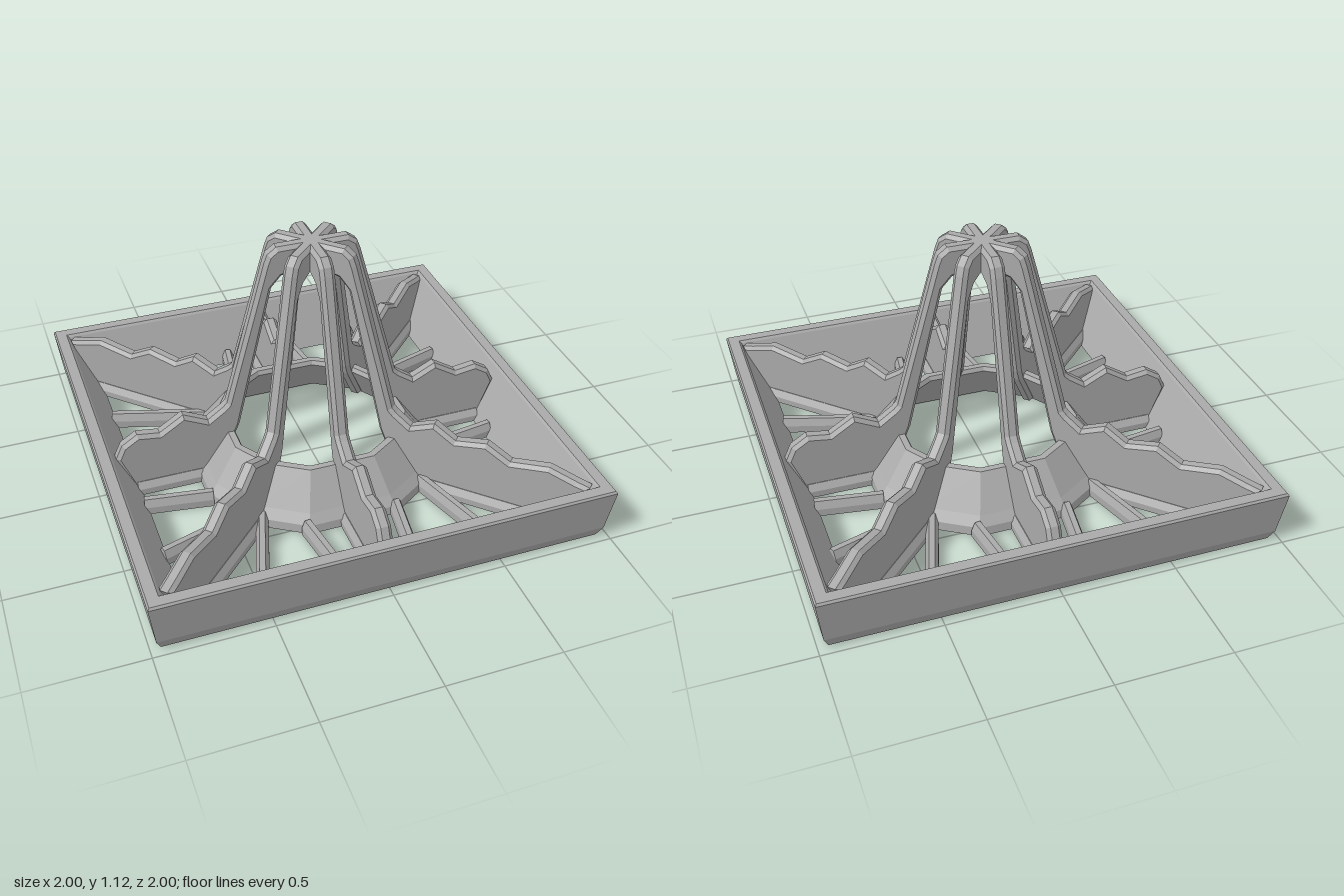
import * as THREE from 'three';

const grey = new THREE.MeshStandardMaterial({ color: 0xaaaaaa });
grey.name = 'grey';

// Sweep a closed counter-clockwise (radius, height) profile around polygon corners (x, z).
function sweepRing(corners, profile) {
  const pos = [];
  const at = (i, j) => {
    const c = corners[i % corners.length], p = profile[j % profile.length];
    return [c[0] * p[0], p[1], c[1] * p[0]];
  };
  for (let i = 0; i < corners.length; i++) {
    for (let j = 0; j < profile.length; j++) {
      const a = at(i, j), b = at(i, j + 1), c = at(i + 1, j), d = at(i + 1, j + 1);
      pos.push(...a, ...b, ...c, ...b, ...d, ...c);
    }
  }
  const g = new THREE.BufferGeometry();
  g.setAttribute('position', new THREE.Float32BufferAttribute(pos, 3));
  g.computeVertexNormals();
  return g;
}

const toShape = (pts) => new THREE.Shape(pts.map((p) => new THREE.Vector2(p[0], p[1])));

// Upright rib: a bevelled plate in the radius/height plane.
function ribGeometry(crest) {
  const width = 0.065, bevel = 0.016;
  const outline = [
    [0, 1.0], [0.06, 1.0], [0.14, 0.98], [0.185, 0.93], [0.345, 0.26], [0.37, 0.2], [0.5, 0],
    ...crest.slice().reverse(),
    [0.42, 0.36], [0.4, 0.38], [0.215, 1.05], [0.2, 1.09], [0.16, 1.12], [0, 1.12],
  ];
  const g = new THREE.ExtrudeGeometry(toShape(outline), {
    depth: width - 2 * bevel, bevelEnabled: true, bevelSegments: 1,
    bevelThickness: bevel, bevelSize: bevel, bevelOffset: -bevel,
  });
  g.translate(0, 0, -width / 2 + bevel);
  return g;
}

// Bar with a trapezoid section lying on the ground between two (x, z) points.
function groundBar(from, to, base, top, height) {
  const dx = to[0] - from[0], dz = to[1] - from[1];
  const section = [[-base / 2, 0], [base / 2, 0], [base / 2, height * 0.5], [top / 2, height], [-top / 2, height], [-base / 2, height * 0.5]];
  const g = new THREE.ExtrudeGeometry(toShape(section), { depth: Math.hypot(dx, dz), bevelEnabled: false });
  g.rotateY(Math.atan2(dx, dz));
  g.translate(from[0], 0, from[1]);
  return g;
}

export function createModel() {
  const model = new THREE.Group();
  model.name = 'ventedSpire';
  const add = (name, geometry, parent = model) => {
    const m = new THREE.Mesh(geometry, grey);
    m.name = name;
    parent.add(m);
    return m;
  };

  // Square tray frame with a sloping inner wall
  add('frame', sweepRing(
    [[1, 1], [-1, 1], [-1, -1], [1, -1]],
    [[0.81, 0], [0.955, 0], [0.975, 0.05], [1, 0.25], [0.993, 0.26], [0.945, 0.26], [0.935, 0.25]],
  ));

  // Conical ring around the central opening
  const corners = [];
  for (let k = 0; k < 4; k++) {
    for (const deg of [-20, 20, 45]) {
      const a = THREE.MathUtils.degToRad(deg + 90 * k);
      corners.push([Math.cos(a), Math.sin(a)]);
    }
  }
  add('centreRing', sweepRing(corners,
    [[0.53, 0], [0.58, 0], [0.575, 0.04], [0.54, 0.08], [0.43, 0.23], [0.4, 0.23], [0.39, 0.21]]));

  // Eight ribs: straight ones to the sides, longer ones to the corners
  const sideRib = ribGeometry([[0.49, 0.31], [0.6, 0.365], [0.71, 0.295], [0.81, 0.31], [0.88, 0.265], [0.91, 0.2], [0.83, 0]].map((p) => p));
  const cornerRib = ribGeometry([[0.49, 0.31], [0.6, 0.36], [0.7, 0.3], [0.84, 0.33], [0.95, 0.27], [1.12, 0.3], [1.24, 0.265], [1.3, 0.25], [1.16, 0]]);
  for (let k = 0; k < 8; k++) {
    const corner = k % 2 === 1;
    const group = new THREE.Group();
    group.name = corner ? 'cornerRib' : 'sideRib';
    group.rotation.y = k * Math.PI / 4;
    model.add(group);
    add('ribPlate', corner ? cornerRib : sideRib, group);
    // Wider foot under the rib
    add('ribFoot', groundBar([0.53, 0], [corner ? 1.16 : 0.83, 0], 0.11, 0.07, 0.06), group);
  }

  // Slim spokes from the ring to the frame, mirrored on every side
  for (let k = 0; k < 4; k++) {
    const side = new THREE.Group();
    side.name = 'sideSpokes';
    side.rotation.y = k * Math.PI / 2;
    model.add(side);
    for (const s of [-1, 1]) {
      add('innerSpoke', groundBar([s * 0.205, 0.53], [s * 0.16, 0.83], 0.055, 0.025, 0.07), side);
      add('outerSpoke', groundBar([s * 0.37, 0.41], [s * 0.5, 0.83], 0.055, 0.025, 0.07), side);
    }
  }
  return model;
}
